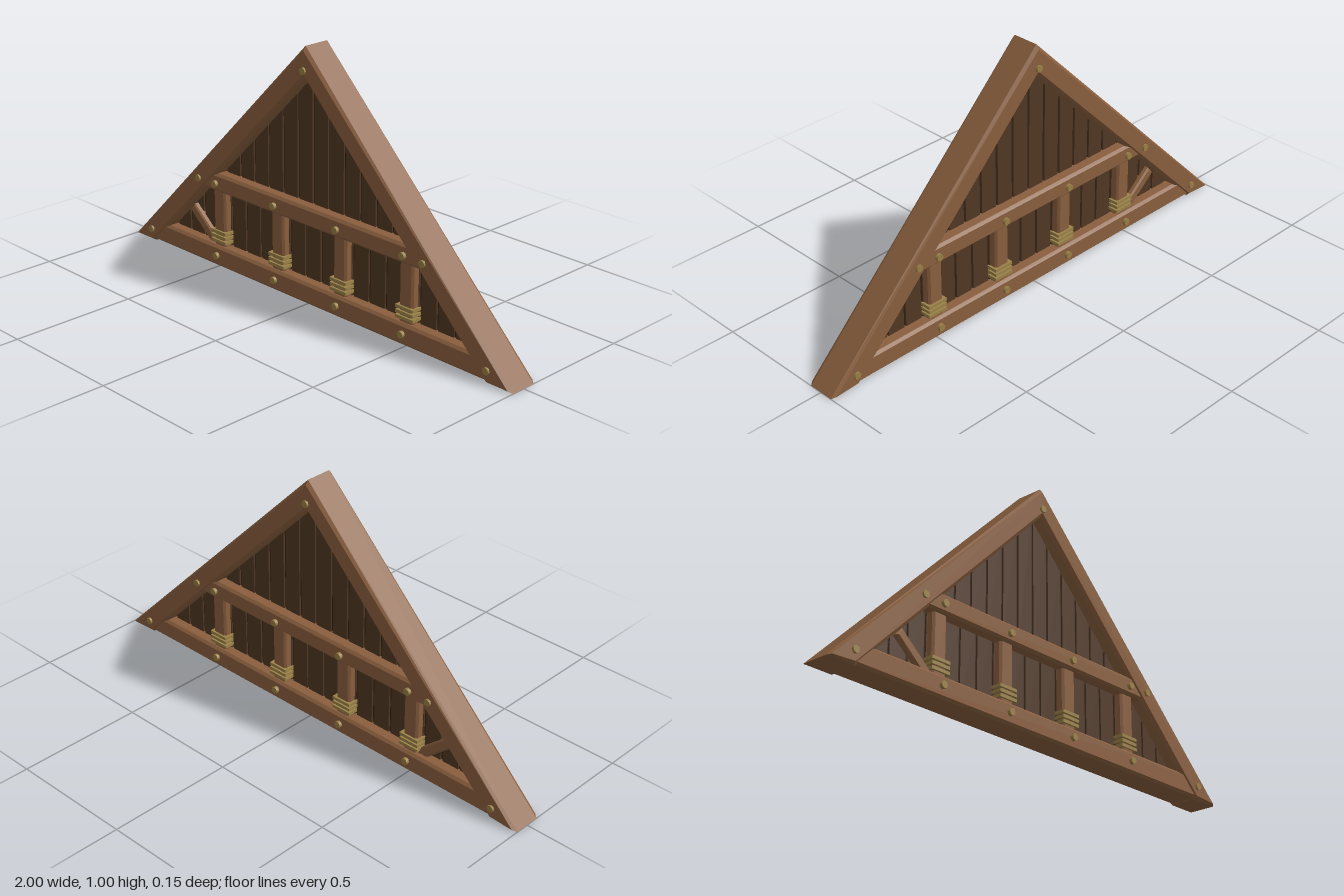
import * as THREE from 'three';

const mat = (name, color) => {
  const m = new THREE.MeshStandardMaterial({ color });
  m.name = name;
  return m;
};

export function createModel() {
  const timber = mat('timber', 0x8a5f3e);
  const plank = mat('plank', 0x513723);
  const groove = mat('groove', 0x2c1d12);
  const brass = mat('brass', 0x9a8045);
  const rope = mat('rope', 0x9c8349);

  const root = new THREE.Group();
  root.name = 'gableTruss';

  const add = (name, geometry, material, x = 0, y = 0, z = 0) => {
    const mesh = new THREE.Mesh(geometry, material);
    mesh.name = name;
    mesh.position.set(x, y, z);
    root.add(mesh);
    return mesh;
  };

  // Outline extruded to +-halfDepth with chamfered front and back edges
  const slab = (points, halfDepth, chamfer = 0) => {
    const shape = new THREE.Shape(points.map(([x, y]) => new THREE.Vector2(x, y)));
    const g = new THREE.ExtrudeGeometry(shape, {
      depth: 2 * (halfDepth - chamfer),
      bevelEnabled: chamfer > 0,
      bevelThickness: chamfer,
      bevelSize: chamfer,
      bevelOffset: -chamfer,
      bevelSegments: 1,
    });
    return g.translate(0, 0, chamfer - halfDepth);
  };
  const beam = (w, h, halfDepth, chamfer) =>
    slab([[-w / 2, -h / 2], [w / 2, -h / 2], [w / 2, h / 2], [-w / 2, h / 2]], halfDepth, chamfer);

  // Pair of rafters meeting at the ridge
  add('rafters', slab([[-1, 0], [-0.88, 0], [0, 0.88], [0.88, 0], [1, 0], [0, 1]], 0.065, 0.012), timber);

  // Horizontal beams
  add('tieBeam', beam(1.78, 0.084, 0.06, 0.01), timber, 0, 0.047);
  add('collarBeam', beam(1.18, 0.074, 0.06, 0.01), timber, 0, 0.354);

  // Dark backing seen in the gaps between boards
  add('panelBacking', slab([[-0.87, 0.04], [0.87, 0.04], [0, 0.91]], 0.007), groove);

  // Vertical boards, cut to the roof slope
  const slope = (x) => 0.92 - Math.abs(x);
  const board = (name, x0, x1, y0, yMax) => {
    const top = (x) => Math.max(y0 + 0.001, Math.min(yMax, slope(x)));
    const knee = 0.92 - yMax;
    const pts = [[x0, y0], [x1, y0], [x1, top(x1)]];
    for (const k of [knee, -knee]) if (k > x0 && k < x1 && knee > 0) pts.push([k, yMax]);
    pts.push([x0, top(x0)]);
    add(name, slab(pts, 0.014), plank);
  };
  const gap = 0.005;
  for (let i = -7; i < 7; i++) board('upperBoard', i * 0.08 + gap, (i + 1) * 0.08 - gap, 0.35, 2);
  for (let i = -10; i <= 10; i++) {
    const c = i * 0.0825;
    board('lowerBoard', c - 0.04125 + gap, c + 0.04125 - gap, 0.05, 0.35);
  }

  // Posts with three rope bands each
  const postX = [-0.495, -0.165, 0.165, 0.495];
  for (const x of postX) {
    add('post', beam(0.066, 0.25, 0.045, 0.008), timber, x, 0.205);
    for (const y of [0.107, 0.126, 0.145]) {
      add('ropeBand', new THREE.BoxGeometry(0.084, 0.012, 0.106), rope, x, y);
    }
  }

  // Single diagonal brace
  add('brace', beam(0.19, 0.04, 0.035, 0.006), timber, -0.598, 0.138).rotation.z = -0.7;

  // Nail heads on both faces
  const nails = [[0, 0.91], [-0.59, 0.35], [0.59, 0.35], [-0.89, 0.05], [0.89, 0.05]];
  for (const x of postX) nails.push([x, 0.35], [x, 0.05]);
  const nailGeometry = new THREE.CylinderGeometry(0.014, 0.014, 0.02, 8).rotateX(Math.PI / 2);
  for (const [x, y] of nails) {
    for (const side of [-1, 1]) add('nailHead', nailGeometry, brass, x, y, side * 0.063);
  }

  return root;
}
